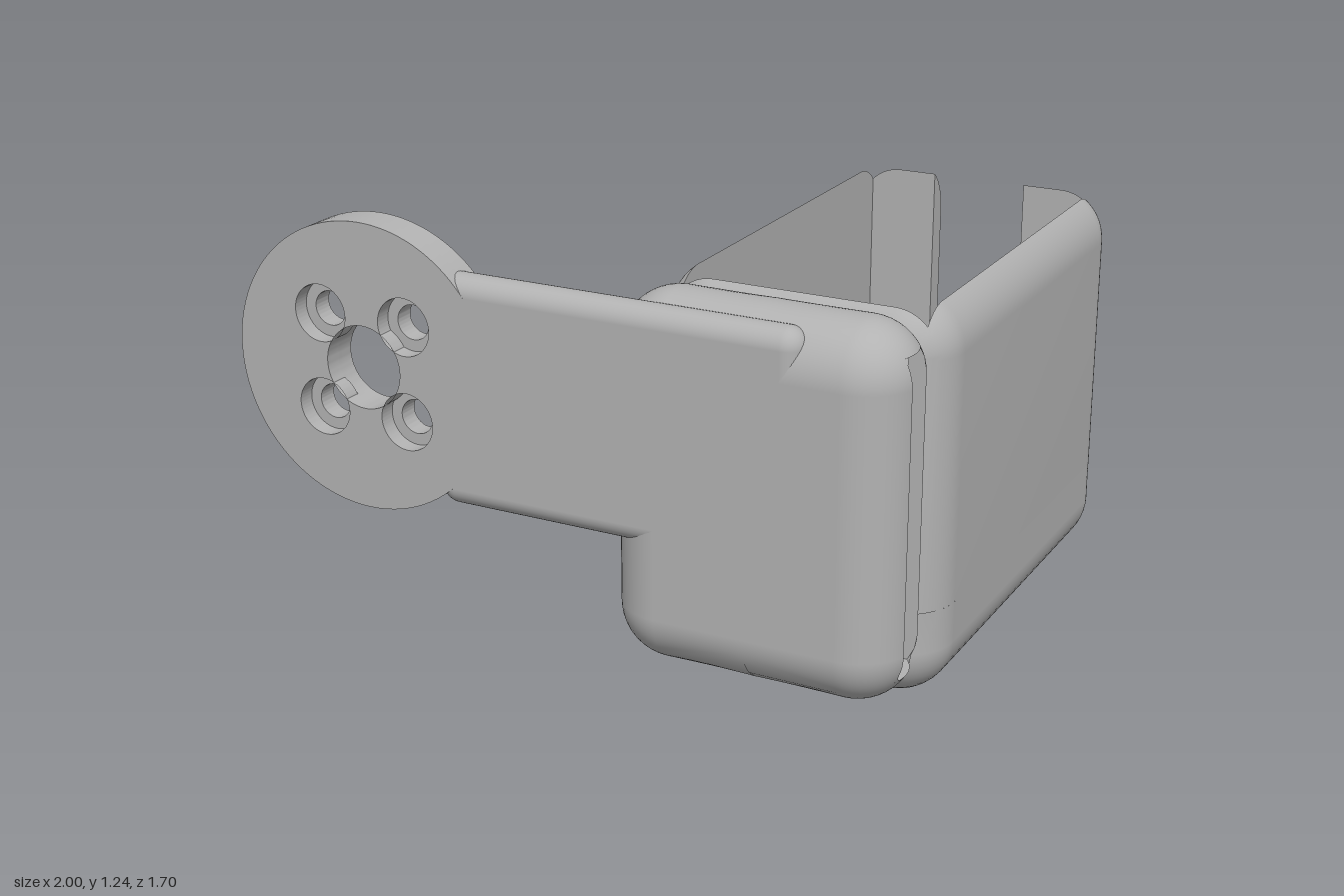
import * as THREE from 'three';
import { toCreasedNormals } from 'three/addons/utils/BufferGeometryUtils.js';
import { RoundedBoxGeometry } from 'three/addons/geometries/RoundedBoxGeometry.js';

const plastic = new THREE.MeshStandardMaterial({ color: 0xb2b2b2, side: THREE.DoubleSide });
plastic.name = 'grey plastic';
const clamp = THREE.MathUtils.clamp;

function add(parent, name, geometry, x = 0, y = 0, z = 0) {
  const mesh = new THREE.Mesh(geometry, plastic);
  mesh.name = name;
  mesh.position.set(x, y, z);
  parent.add(mesh);
  return mesh;
}

// Height of a rounded slab's underside above its lowest plane
function rise(x, z, cx, cz, r) {
  const d = Math.min(r, Math.hypot(x - clamp(x, -cx, cx), z - clamp(z, -cz, cz)));
  return r - Math.sqrt(r * r - d * d);
}

// Downward-facing end of a rounded box, with skirt; cuts move points inside them to their rim
function dome(cx, cz, r, skirt, cuts = []) {
  const axis = (c) => {
    const list = [[-c, -2]], n = 12, steps = Math.ceil(c / 0.01);
    for (let i = -n; i <= 0; i++) list.push([-c, i / n]);
    for (let i = 1; i < steps; i++) list.push([-c + (2 * c * i) / steps, 0]);
    for (let i = c ? 0 : 1; i <= n; i++) list.push([c, i / n]);
    return [...list, [c, 2]];
  };
  const ax = axis(cx), az = axis(cz), pos = [], nor = [], idx = [], cut = [];
  for (const [bx, ox] of ax) for (const [bz, oz] of az) {
    const m = Math.max(Math.abs(ox), Math.abs(oz)), k = Math.hypot(ox, oz) || 1;
    const d = r * Math.sin(Math.min(m, 1) * Math.PI / 2);
    let x = bx + ox / k * d, z = bz + oz / k * d, hit = null;
    for (const c of cuts) hit = hit || c(x, z);
    if (hit) [x, z] = hit;
    cut.push(!!hit);
    const y = m >= 1 ? r + (m - 1) * skirt : rise(x, z, cx, cz, r);
    pos.push(x, y, z);
    nor.push((x - clamp(x, -cx, cx)) / r, Math.min(0, y - r) / r, (z - clamp(z, -cz, cz)) / r);
  }
  const n = az.length;
  const tri = (a, b, c) => { if (!(cut[a] && cut[b] && cut[c])) idx.push(a, b, c); };
  for (let i = 0; i < ax.length - 1; i++) for (let j = 0; j < n - 1; j++) {
    const a = i * n + j;
    tri(a, a + n, a + 1);
    tri(a + 1, a + n, a + n + 1);
  }
  const g = new THREE.BufferGeometry();
  g.setAttribute('position', new THREE.Float32BufferAttribute(pos, 3));
  g.setAttribute('normal', new THREE.Float32BufferAttribute(nor, 3));
  g.setIndex(idx);
  return g;
}

// Skin over closed rings of [x, y, z] points, leaving out one column if asked
function loft(rings, skip = -1) {
  const n = rings[0].length, idx = [];
  for (let k = 0; k < rings.length - 1; k++) for (let i = 0; i < n; i++) {
    if (i === skip) continue;
    const a = k * n + i, b = k * n + (i + 1) % n;
    idx.push(a, a + n, b, b, a + n, b + n);
  }
  const g = new THREE.BufferGeometry();
  g.setAttribute('position', new THREE.Float32BufferAttribute(rings.flat(2), 3));
  g.setIndex(idx);
  return toCreasedNormals(g, 0.6);
}

const level = (pts, y) => pts.map(([x, z]) => [x, typeof y === 'function' ? y(x, z) : y, z]);
const vec = (pts) => pts.map(([x, z]) => new THREE.Vector2(x, z));

// Horizontal plate with holes
function plate(pts, holes = []) {
  const s = new THREE.Shape(vec(pts));
  holes.forEach((h) => s.holes.push(new THREE.Path(vec(h))));
  return new THREE.ShapeGeometry(s).rotateX(Math.PI / 2);
}

function circle(x, z, r, n = 40) {
  return Array.from({ length: n }, (_, i) => {
    const a = i / n * Math.PI * 2;
    return [x + r * Math.cos(a), z + r * Math.sin(a)];
  });
}

function rect(x0, x1, z0, z1, n = 1) {
  const c = [[x0, z0], [x1, z0], [x1, z1], [x0, z1]], out = [];
  c.forEach(([x, z], k) => {
    const [u, v] = c[(k + 1) % 4];
    for (let i = 0; i < n; i++) out.push([x + (u - x) * i / n, z + (v - z) * i / n]);
  });
  return out;
}

function buildCase() {
  const g = new THREE.Group();
  g.name = 'openCase';
  g.position.set(0.5775, 0, -0.1425);
  const r = 0.16, cx = 0.2625, cz = 0.5475, H = 1.15, sill = 0.28, floor = 0.22, recess = 0.18, seat = 0.1;
  const ix = 0.355, iz = 0.645, win = [-0.1475, 0.1425];
  const under = (x, z) => rise(x, z, cx, cz, r);
  const screws = [[-0.285, -0.5725], [0.285, -0.5725], [-0.285, 0.1125], [0.285, 0.1125]];

  // Rounded underside with counterbores
  const cuts = screws.map(([a, b]) => (x, z) => {
    const d = Math.hypot(x - a, z - b);
    return d > 1e-6 && d < 0.06 ? [a + (x - a) * 0.06 / d, b + (z - b) * 0.06 / d] : null;
  });
  add(g, 'caseBottom', dome(cx, cz, r, sill - r, cuts));
  for (const [x, z] of screws) {
    const wide = circle(x, z, 0.06), narrow = circle(x, z, 0.035);
    add(g, 'screwHole', loft([level(wide, under), level(wide, seat), level(narrow, seat), level(narrow, floor)]));
  }

  // Walls, rolled inwards at the rim, with a gap for the back window
  const outer = [];
  for (let k = 0; k < 4; k++) {
    const mid = (k + 0.5) * Math.PI / 2;
    for (let i = 0; i <= 16; i++) {
      const a = (k + i / 16) * Math.PI / 2;
      outer.push([Math.sign(Math.cos(mid)) * cx + r * Math.cos(a), Math.sign(Math.sin(mid)) * cz + r * Math.sin(a)]);
    }
    if (k === 2) win.forEach((x) => outer.push([x, -cz - r]));
  }
  const gap = 51;
  const inner = outer.map(([x, z]) => [clamp(x, -ix, ix), clamp(z, -iz, iz)]);
  const rings = [level(outer, sill)];
  for (let k = 0; k <= 10; k++) {
    const t = (k / 10) ** 2;
    const pts = outer.map(([x, z], i) => [x + (inner[i][0] - x) * t, z + (inner[i][1] - z) * t]);
    rings.push(level(pts, (x, z) => H - under(x, z)));
  }
  rings.push(level(inner, sill));
  add(g, 'caseWalls', loft(rings, gap));
  add(g, 'innerWallFoot', loft([level(inner, sill), level(inner, floor)]));

  // Window sides and sill
  const profile = rings.map((ring) => new THREE.Vector2(ring[gap][2], ring[gap][1]));
  for (const x of win) {
    add(g, 'windowSide', new THREE.ShapeGeometry(new THREE.Shape(profile)).rotateY(-Math.PI / 2), x);
  }
  add(g, 'windowSill', plate(rect(win[0], win[1], -cz - r, -iz)), 0, sill);

  // Floor with a square and a round recess
  const pockets = [rect(-0.275, 0.275, -0.5075, -0.0075), circle(0, 0.3425, 0.295, 64)];
  const holes = screws.map(([x, z]) => circle(x, z, 0.035));
  add(g, 'caseFloor', plate(rect(-ix, ix, -iz, iz), [...pockets, ...holes]), 0, floor);
  for (const p of pockets) {
    add(g, 'recessWall', loft([level(p, floor), level(p, recess)]));
    add(g, 'recessFloor', plate(p), 0, recess);
  }
  return g;
}

function buildHolder() {
  const g = new THREE.Group();
  g.name = 'slottedHolder';
  g.position.set(0.5775, 0.625, 0.69);
  const r = 0.16, c = 0.365, half = 0.4225, depth = 0.76;
  const [x0, x1, z0, z1] = [-0.445, 0.445, -0.09, 0.05];

  // Slot mouth on one rounded side
  const slot = (x, z) => {
    const d = [x - x0, x1 - x, z - z0, z1 - z], m = Math.min(...d);
    if (m <= 0) return null;
    return [[x0, z], [x1, z], [x, z0], [x, z1]][d.indexOf(m)];
  };
  const open = new THREE.Group();
  open.name = 'slotSide';
  open.rotation.z = Math.PI / 2;
  open.position.x = half;
  g.add(open);
  add(open, 'holderOpenHalf', dome(c, 0, r, half - r, [slot]));
  const mouth = rect(x0, x1, z0, z1, 24);
  add(open, 'slotWalls', loft([level(mouth, (x, z) => rise(x, z, c, 0, r)), level(mouth, depth)]));
  add(open, 'slotEnd', plate(mouth), 0, depth);

  const closed = add(g, 'holderClosedHalf', dome(c, 0, r, half - r), -half);
  closed.rotation.z = -Math.PI / 2;
  return g;
}

function buildArm() {
  const g = new THREE.Group();
  g.name = 'mountingArm';
  add(g, 'arm', new RoundedBoxGeometry(1.09, 0.665, 0.11, 6, 0.0549), 0.185, 0.7975, 0.795);

  // Round flange in two layers: narrow screw holes behind, wide ones in front
  const layer = (name, holeR, z, depth) => {
    const s = new THREE.Shape().absarc(0, 0, 0.415, 0, Math.PI * 2);
    const hole = (x, y, rad) => s.holes.push(new THREE.Path().absarc(x, y, rad, 0, Math.PI * 2, true));
    hole(0, 0, 0.12);
    for (const x of [-0.137, 0.137]) for (const y of [-0.137, 0.137]) hole(x, y, holeR);
    const geo = new THREE.ExtrudeGeometry(s, { depth, bevelEnabled: false, curveSegments: 48 });
    add(g, name, toCreasedNormals(geo, 0.6), -0.585, 0.828, z);
  };
  layer('flangeBack', 0.05, 0.74, 0.06);
  layer('flangeFront', 0.083, 0.8, 0.05);
  return g;
}

export function createModel() {
  const model = new THREE.Group();
  model.name = 'sideMountBracket';
  model.add(buildCase(), buildHolder(), buildArm());
  return model;
}
